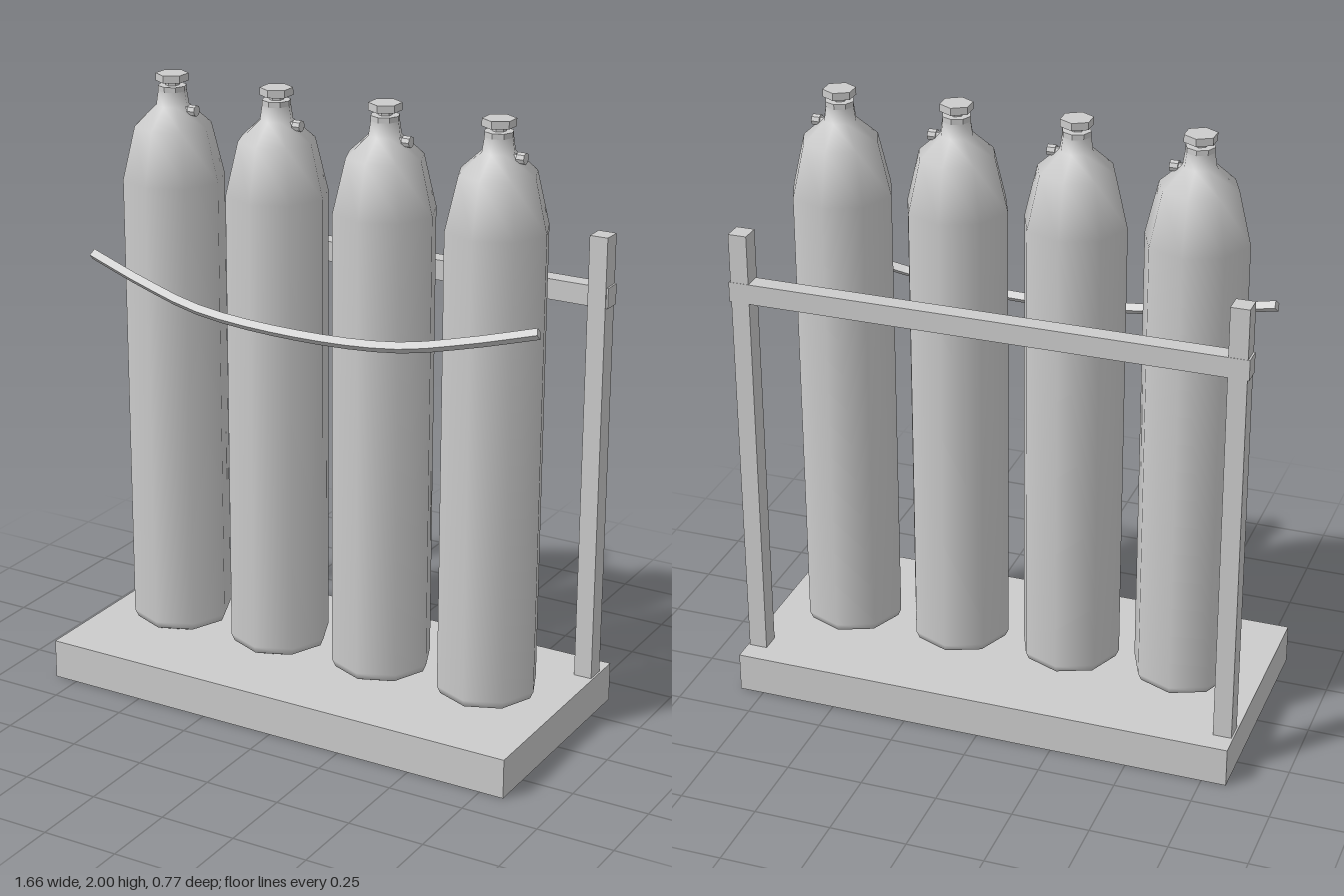
import * as THREE from 'three';

const steel = new THREE.MeshStandardMaterial({ color: 0xcccccc });
steel.name = 'grey steel';
steel.side = THREE.DoubleSide;
const steelFlat = steel.clone();
steelFlat.flatShading = true;

function add(parent, name, geometry, x = 0, y = 0, z = 0, material = steelFlat) {
  const mesh = new THREE.Mesh(geometry, material);
  mesh.name = name;
  mesh.position.set(x, y, z);
  parent.add(mesh);
  return mesh;
}

// Tray: a box open underneath
function trayGeometry(w, h, d) {
  const box = new THREE.BoxGeometry(w, h, d);
  const index = Array.from(box.index.array);
  index.splice(18, 6); // drop the bottom face
  box.setIndex(index);
  box.clearGroups();
  return box;
}

// One gas cylinder with collar, stem, hand wheel and side outlet
function makeCylinder() {
  const g = new THREE.Group();
  g.name = 'gasCylinder';
  const profile = [
    [0.122, 0.13], [0.154, 0.145], [0.165, 0.17], [0.165, 1.665],
    [0.124, 1.835], [0.053, 1.9], [0.046, 1.945],
  ].map(([r, y]) => new THREE.Vector2(r, y));
  add(g, 'tank', new THREE.LatheGeometry(profile, 8), 0, 0, 0, steel);
  add(g, 'collar', new THREE.CylinderGeometry(0.046, 0.046, 0.018, 8), 0, 1.953, 0);
  add(g, 'stem', new THREE.CylinderGeometry(0.022, 0.022, 0.03, 6), 0, 1.967, 0);
  add(g, 'handWheel', new THREE.CylinderGeometry(0.052, 0.052, 0.024, 6), 0, 1.988, 0);
  // Outlet pointing to the side
  add(g, 'outletPipe', new THREE.CylinderGeometry(0.012, 0.012, 0.06, 6), 0.055, 1.888, 0).rotation.z = Math.PI / 2;
  add(g, 'outletNut', new THREE.CylinderGeometry(0.018, 0.018, 0.026, 8), 0.077, 1.888, 0).rotation.z = Math.PI / 2;
  return g;
}

export function createModel() {
  const model = new THREE.Group();
  model.name = 'gasCylinderRack';

  add(model, 'baseTray', trayGeometry(1.66, 0.13, 0.77), 0, 0.065, 0);

  // Rear frame
  for (const s of [-1, 1]) {
    add(model, 'rearPost', new THREE.BoxGeometry(0.06, 1.475, 0.064), s * 0.794, 0.8675, -0.282);
  }
  add(model, 'rearRail', new THREE.BoxGeometry(1.66, 0.066, 0.06), 0, 1.412, -0.285);

  // Row of cylinders
  for (let i = 0; i < 4; i++) {
    const c = makeCylinder();
    c.position.x = (i - 1.5) * 0.383;
    model.add(c);
  }

  // Sagging strap across the front, square in section
  const path = new THREE.CatmullRomCurve3([
    [-0.793, 1.412, 0.148], [-0.58, 1.357, 0.18], [-0.35, 1.309, 0.204], [0, 1.287, 0.202],
    [0.35, 1.309, 0.204], [0.58, 1.357, 0.18], [0.793, 1.412, 0.148],
  ].map((p) => new THREE.Vector3(...p)));
  const r = 0.018;
  const section = new THREE.Shape([
    new THREE.Vector2(r, 0), new THREE.Vector2(0, r),
    new THREE.Vector2(-r, 0), new THREE.Vector2(0, -r),
  ]);
  add(model, 'frontStrap', new THREE.ExtrudeGeometry(section, { steps: 18, extrudePath: path }));

  return model;
}
